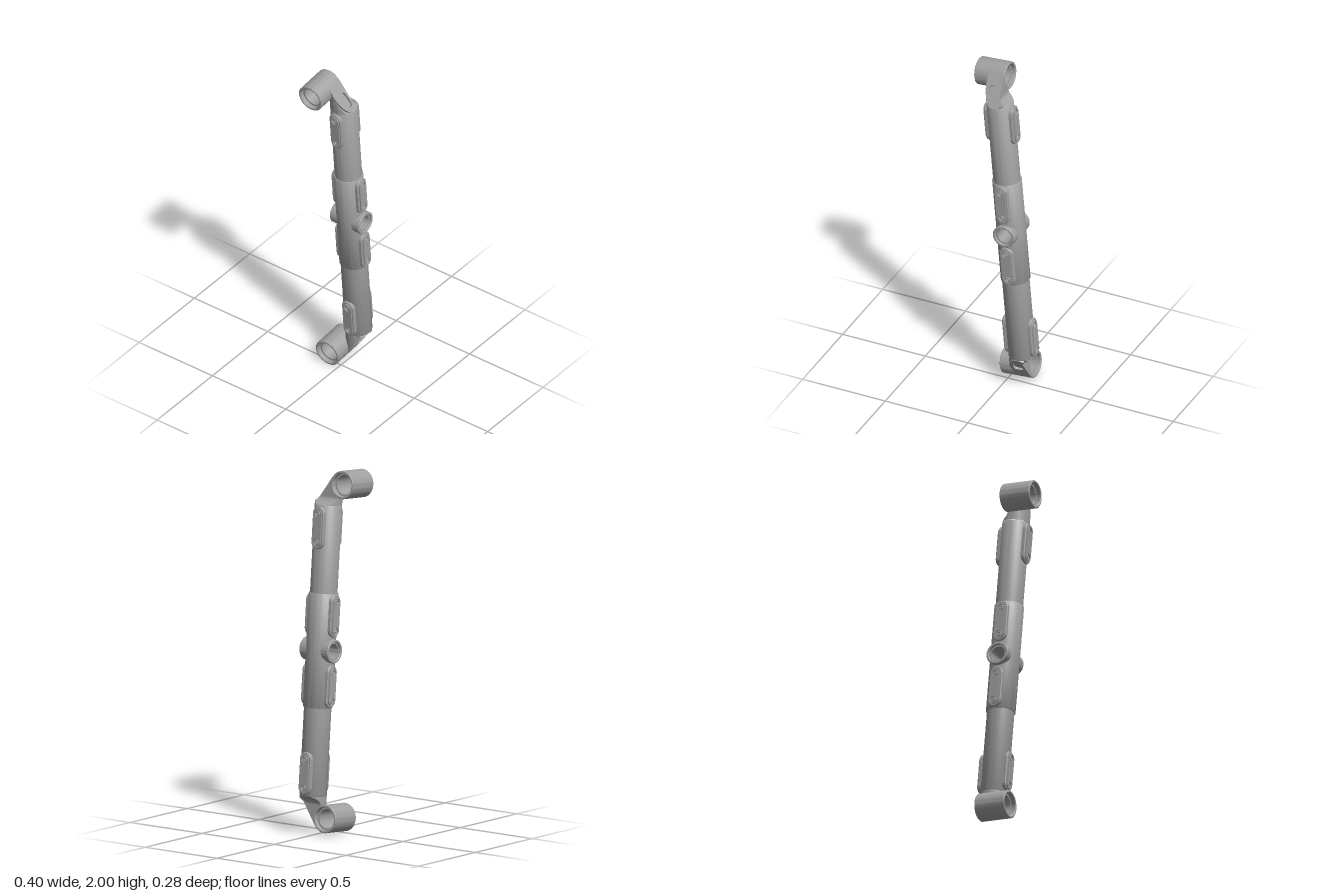
import * as THREE from 'three';
import { toCreasedNormals } from 'three/addons/utils/BufferGeometryUtils.js';

const TUBE_R = 0.075, SLEEVE_R = 0.081, TUBE_END = 0.8, BOSS_R = 0.065;
const BARREL = { x: -0.07, y: 0.918, z: -0.1025, r: 0.0775, half: 0.091 };

export function createModel() {
  const steel = new THREE.MeshStandardMaterial({ color: 0xa0a0a0 });
  steel.name = 'steel grey';
  const model = new THREE.Group();
  model.name = 'linkArm';
  // everything is built upright around the cross hole, then tilted
  const arm = new THREE.Group();
  arm.name = 'tiltedArm';
  arm.position.set(0.04, 1.006, 0.04);
  arm.rotation.z = 0.084;
  model.add(arm);

  const add = (name, geo, parent = arm) => {
    const mesh = new THREE.Mesh(toCreasedNormals(geo, 0.6), steel);
    mesh.name = name;
    parent.add(mesh);
    return mesh;
  };
  const lathe = (pts, seg = 64) =>
    new THREE.LatheGeometry(pts.map(([r, y]) => new THREE.Vector2(r, y)), seg);

  // mirror a geometry top to bottom, keeping its faces outward
  const mirrorY = (geo) => {
    const g = geo.index ? geo.toNonIndexed() : geo.clone();
    g.scale(1, -1, 1);
    for (const attr of Object.values(g.attributes)) {
      const a = attr.array, n = attr.itemSize;
      for (let i = 0; i < attr.count; i += 3)
        for (let k = 0; k < n; k++) {
          const p = (i + 1) * n + k, q = (i + 2) * n + k, t = a[p];
          a[p] = a[q];
          a[q] = t;
        }
    }
    return g;
  };

  // hollow bushing with a counterbore at both ends, along y
  const bushing = (R, half, counter, bore, depth) => {
    const c = 0.003;
    return lathe([
      [bore, -half + depth], [counter, -half + depth], [counter, -half + c], [counter + c, -half],
      [R - c, -half], [R, -half + c], [R, half - c], [R - c, half],
      [counter + c, half], [counter, half - c], [counter, half - depth],
      [bore, half - depth], [bore, -half + depth],
    ]);
  };

  // neck: tube section cut by a slanted front plane, a flared side and the barrel
  const slopeDir = new THREE.Vector3(0, 0.161, -0.113);
  const slopeLen = slopeDir.length();
  slopeDir.normalize();
  const slabT = 0.013;
  const flare = (y) => {
    const u = Math.min(1, (y - TUBE_END) / 0.045);
    return 0.02 + 0.055 * (1 - u) ** 2;
  };
  const frontZ = (y) => TUBE_R - (0.113 * (y - TUBE_END)) / 0.161;
  const backZ = (y) => {
    const d = 0.071 ** 2 - (y - BARREL.y) ** 2;
    return d > 0 ? Math.max(-TUBE_R, BARREL.z + Math.sqrt(d)) : -TUBE_R;
  };
  const neckBody = () => {
    const N = 64, M = 28, pos = [], idx = [];
    for (let j = 0; j <= M; j++) {
      const y = TUBE_END + (0.161 * j) / M;
      const zb = backZ(y), zf = Math.max(frontZ(y) - slabT / slopeDir.y, zb);
      for (let i = 0; i < N; i++) {
        const a = (i / N) * Math.PI * 2;
        pos.push(Math.min(TUBE_R * Math.cos(a), flare(y)), y,
          THREE.MathUtils.clamp(TUBE_R * Math.sin(a), zb, zf));
        if (j < M) {
          const p = j * N + i, q = j * N + ((i + 1) % N);
          idx.push(p, p + N, q, q, p + N, q + N);
        }
      }
    }
    const g = new THREE.BufferGeometry();
    g.setAttribute('position', new THREE.Float32BufferAttribute(pos, 3));
    g.setIndex(idx);
    return g;
  };
  // slanted front wall of the neck with its pocket
  const neckFace = () => {
    const left = [], right = [];
    for (let i = 0; i <= 24; i++) {
      const s = (slopeLen * i) / 24, y = TUBE_END + s * slopeDir.y;
      const z = Math.max(0, frontZ(y)), w = Math.sqrt(Math.max(0, TUBE_R ** 2 - z * z));
      if (i) left.push(new THREE.Vector2(-w, s));
      right.push(new THREE.Vector2(Math.min(w, flare(y)), s));
    }
    const shape = new THREE.Shape([...right, ...left.reverse()]);
    const pocket = [[-0.052, 0.115], [-0.045, 0.124], [-0.005, 0.124], [0.002, 0.115],
      [0.008, 0.045], [0, 0.034], [-0.022, 0.036], [-0.046, 0.07]];
    const curve = new THREE.CatmullRomCurve3(
      pocket.map(([x, y]) => new THREE.Vector3(x, y, 0)), true);
    shape.holes.push(new THREE.Path(
      curve.getPoints(40).slice(0, -1).map((p) => new THREE.Vector2(p.x, p.y))));
    const g = new THREE.ExtrudeGeometry(shape, { depth: slabT, bevelEnabled: false });
    const xAxis = new THREE.Vector3(1, 0, 0);
    const normal = xAxis.clone().cross(slopeDir);
    g.translate(0, 0, -slabT);
    g.applyMatrix4(new THREE.Matrix4().makeBasis(xAxis, slopeDir, normal)
      .setPosition(0, TUBE_END, TUBE_R));
    return g;
  };

  // half sleeve whose inner edge follows the cross boss
  const halfSleeve = () => {
    const g = lathe([[SLEEVE_R, 0], [SLEEVE_R, 0.312], [SLEEVE_R - 0.002, 0.315], [0.07, 0.315]], 96);
    const p = g.attributes.position;
    for (let i = 0; i < p.count; i++)
      if (p.getY(i) < 0.001)
        p.setY(i, Math.sqrt(Math.max(0, (BOSS_R - 0.002) ** 2 - p.getX(i) ** 2)));
    return g;
  };

  for (const [side, sign] of [['upper', 1], ['lower', -1]]) {
    const flip = (g) => (sign > 0 ? g : mirrorY(g));
    add(side + 'Tube', flip(lathe([[TUBE_R, 0.29], [TUBE_R, TUBE_END - 0.003],
      [TUBE_R - 0.002, TUBE_END], [0, TUBE_END]])));
    add(side + 'Sleeve', flip(halfSleeve()));
    add(side + 'Neck', flip(neckBody()));
    add(side + 'NeckFace', flip(neckFace()));
    const barrel = add(side + 'Barrel', bushing(BARREL.r, BARREL.half, 0.064, 0.054, 0.025));
    barrel.rotation.z = Math.PI / 2;
    barrel.position.set(BARREL.x, sign * BARREL.y, BARREL.z);
  }

  // cross boss with through hole
  add('crossBoss', bushing(BOSS_R, 0.099, 0.05, 0.042, 0.012)).rotation.x = Math.PI / 2;

  // rounded mounting pads with two screws each
  const stadium = (w, l) => {
    const s = new THREE.Shape(), r = w / 2, h = l / 2 - r;
    s.absarc(0, h, r, 0, Math.PI, false);
    s.absarc(0, -h, r, Math.PI, Math.PI * 2, false);
    return s;
  };
  const pad = (name, y, turn, outer) => {
    const g = new THREE.Group();
    g.name = name;
    g.position.y = y;
    g.rotation.y = turn;
    arm.add(g);
    const base = new THREE.ExtrudeGeometry(stadium(0.07, 0.227), {
      depth: outer - 0.071, bevelThickness: 0.004, bevelSize: 0.004, bevelSegments: 1, curveSegments: 16 });
    add('padBase', base, g).position.z = 0.06;
    const top = stadium(0.056, 0.21);
    for (const s of [1, -1]) {
      const hole = new THREE.Path();
      hole.absarc(0, s * 0.078, 0.018, 0, Math.PI * 2, true);
      top.holes.push(hole);
      const screw = add('screw', lathe([[0.013, -0.008], [0.013, 0.004], [0.011, 0.006],
        [0.007, 0.006], [0.005, 0.002], [0, 0.002]], 24), g);
      screw.rotation.x = Math.PI / 2;
      screw.position.set(0, s * 0.078, outer - 0.008);
    }
    const panel = new THREE.ExtrudeGeometry(top, { depth: 0.009, bevelEnabled: false, curveSegments: 16 });
    add('padPanel', panel, g).position.z = outer - 0.009;
  };
  for (const s of [1, -1])
    for (const k of [0, 1]) {
      pad('sidePad', s * 0.675, Math.PI / 2 + k * Math.PI, 0.093);
      pad('sleevePad', s * 0.194, k * Math.PI, 0.097);
    }
  return model;
}
